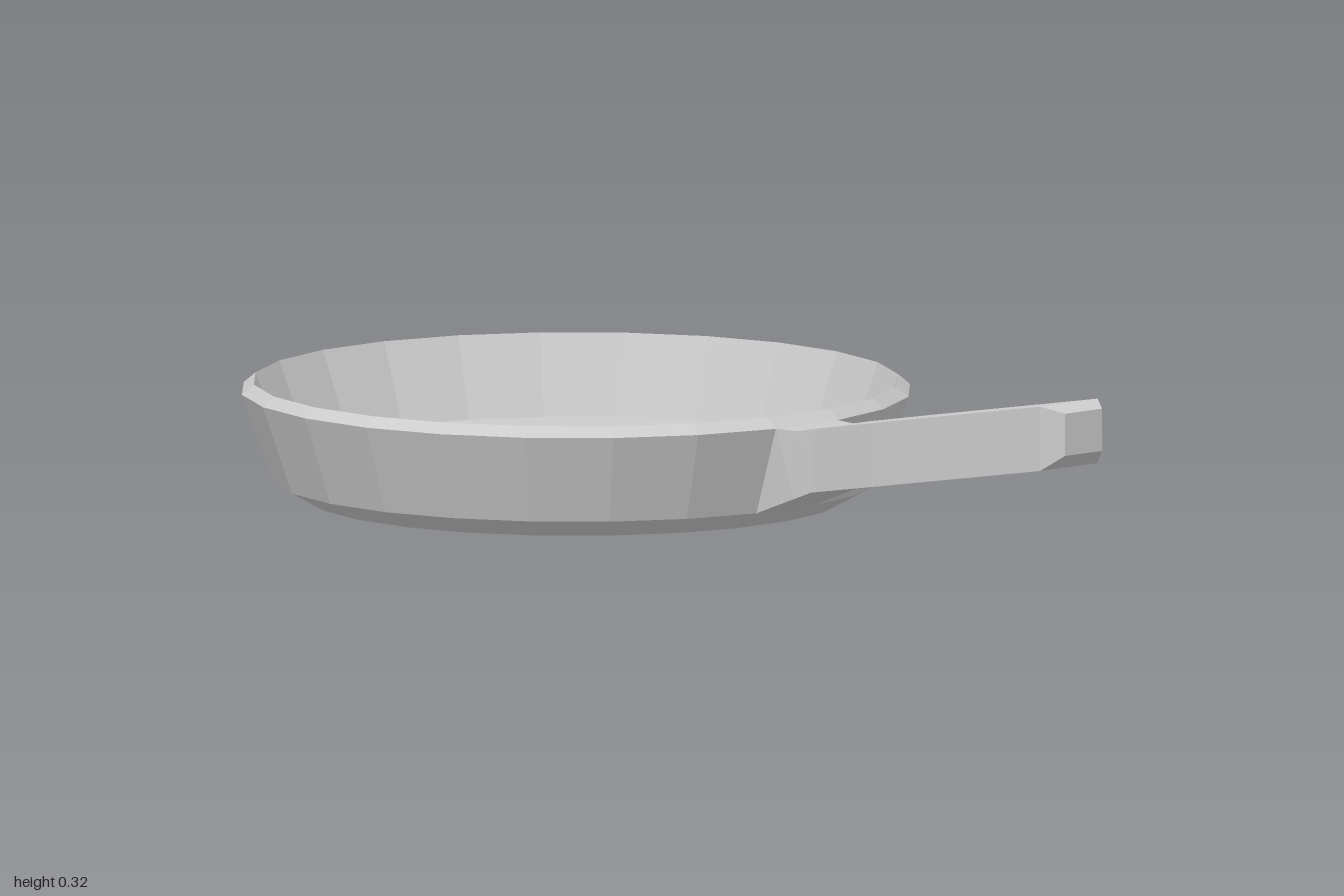
import * as THREE from 'three';

const material = new THREE.MeshStandardMaterial({ color: 0xcccccc, flatShading: true });

// Pan body: closed 24-sided profile, from under the base, over the rim, to the cooking floor
function createPan() {
  const profile = [
    [0, 0], [0.507, 0], [0.572, 0.036], [0.6304, 0.203],
    [0.608, 0.222], [0.55, 0.07], [0, 0.07],
  ].map(([r, y]) => new THREE.Vector2(r, y));
  const pan = new THREE.Mesh(new THREE.LatheGeometry(profile, 24, Math.PI / 24), material);
  pan.name = 'panBody';
  pan.position.z = -0.375;
  return pan;
}

// Handle: four-cornered cross-sections lofted from the pan wall to the bevelled tip
function createHandle() {
  // [bottom z, bottom y, top z, top y, bottom half width, top half width]
  const sections = [
    [0.192, 0.036, 0.25, 0.203, 0.075, 0.081],
    [0.29, 0.073, 0.30, 0.203, 0.072, 0.073],
    [0.335, 0.09, 0.345, 0.212, 0.07, 0.07],
    [0.52, 0.122, 0.52, 0.243, 0.078, 0.078],
    [0.96, 0.198, 0.96, 0.32, 0.075, 0.075],
    [1.0, 0.228, 1.0, 0.308, 0.048, 0.048],
  ];
  const positions = [];
  for (const [bz, by, tz, ty, bw, tw] of sections) {
    positions.push(-bw, by, bz, bw, by, bz, tw, ty, tz, -tw, ty, tz);
  }
  const index = [];
  for (let s = 0; s < sections.length - 1; s++) {
    for (let k = 0; k < 4; k++) {
      const a = s * 4 + k, b = s * 4 + (k + 1) % 4;
      index.push(a, b, b + 4, a, b + 4, a + 4);
    }
  }
  // Tip face
  const e = (sections.length - 1) * 4;
  index.push(e, e + 1, e + 2, e, e + 2, e + 3);

  const geometry = new THREE.BufferGeometry();
  geometry.setAttribute('position', new THREE.Float32BufferAttribute(positions, 3));
  geometry.setIndex(index);
  geometry.computeVertexNormals();
  const handle = new THREE.Mesh(geometry, material);
  handle.name = 'handle';
  return handle;
}

export function createModel() {
  const group = new THREE.Group();
  group.name = 'fryingPan';
  group.add(createPan(), createHandle());
  return group;
}
